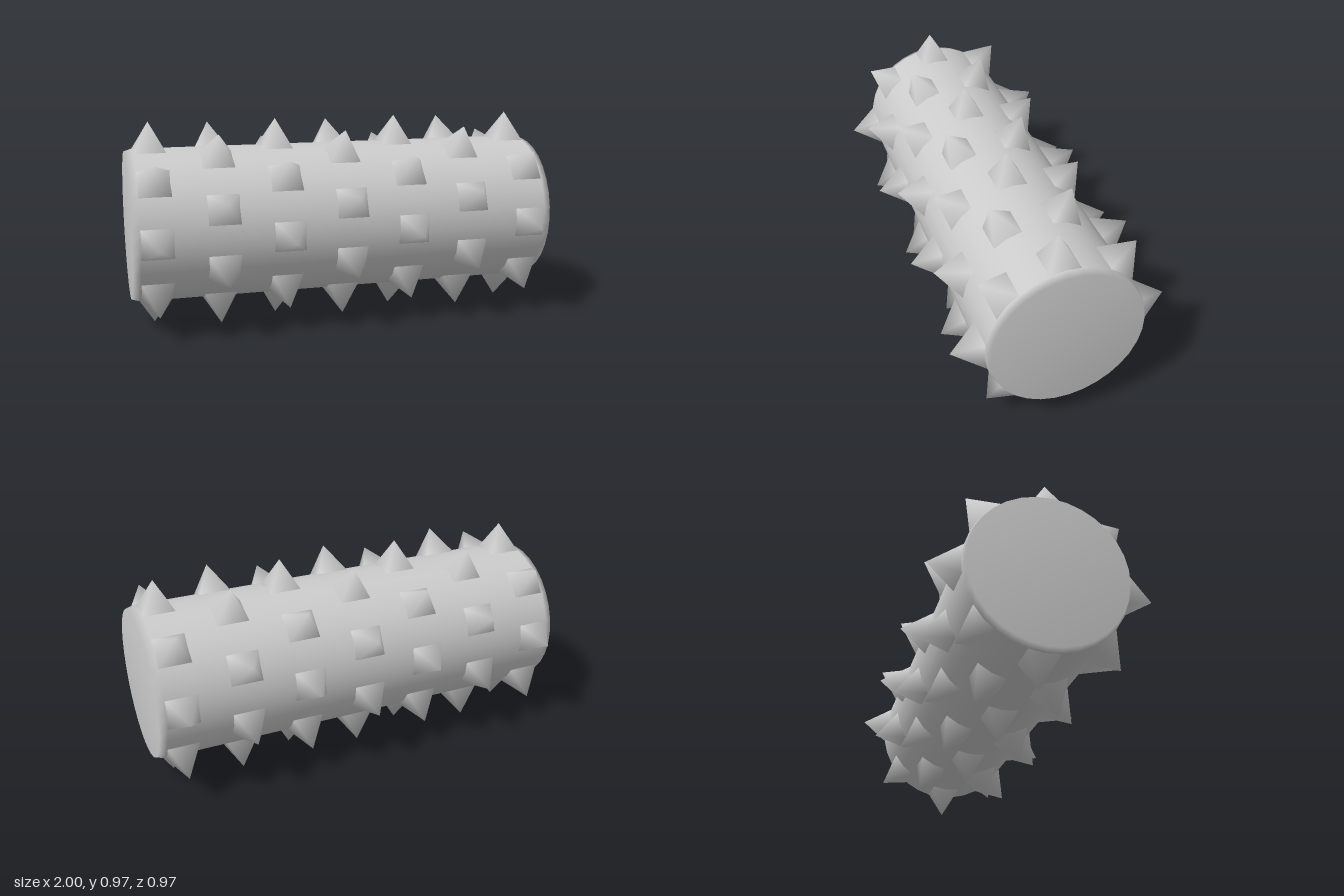
import * as THREE from 'three';
import { mergeVertices } from 'three/addons/utils/BufferGeometryUtils.js';

const RADIUS = 0.357, TIP = 0.486, BASE = 0.348;

// Square pyramid pointing up +y, softly shaded, base on the drum surface
function spikeGeometry() {
  const height = TIP - BASE;
  let geo = new THREE.ConeGeometry(Math.SQRT1_2, height, 4, 1, true);
  geo.rotateY(Math.PI / 4);
  geo.scale(0.15, 1, 0.14);
  geo.translate(0, BASE + height / 2, 0);
  geo.deleteAttribute('normal');
  geo.deleteAttribute('uv');
  geo = mergeVertices(geo, 1e-4);
  geo.computeVertexNormals();
  return geo;
}

export function createModel() {
  const model = new THREE.Group();
  model.name = 'spikedRoller';
  const material = new THREE.MeshStandardMaterial({ color: 0xcccccc });

  // Everything turns together around the long axis
  const roller = new THREE.Group();
  roller.name = 'roller';
  roller.position.y = 0.487;
  roller.rotation.x = THREE.MathUtils.degToRad(3);
  model.add(roller);

  // Drum with slightly bevelled ends
  const profile = [[0, -1], [0.346, -1], [RADIUS, -0.965], [RADIUS, 0.965], [0.346, 1], [0, 1]]
    .map(([r, h]) => new THREE.Vector2(r, h));
  const drumGeo = new THREE.LatheGeometry(profile, 32);
  drumGeo.rotateZ(-Math.PI / 2);
  const drum = new THREE.Mesh(drumGeo, material);
  drum.name = 'drum';
  roller.add(drum);

  // Seven rings of eight spikes, every other ring turned by half a step
  const spikeGeo = spikeGeometry();
  for (let ring = -3; ring <= 3; ring++) {
    const spikeRing = new THREE.Group();
    spikeRing.name = 'spikeRing';
    spikeRing.position.x = ring * 0.2967;
    spikeRing.rotation.x = ring % 2 === 0 ? Math.PI / 8 : 0;
    for (let i = 0; i < 8; i++) {
      const spike = new THREE.Mesh(spikeGeo, material);
      spike.name = 'spike';
      spike.rotation.x = (i * Math.PI) / 4;
      spikeRing.add(spike);
    }
    roller.add(spikeRing);
  }
  return model;
}
